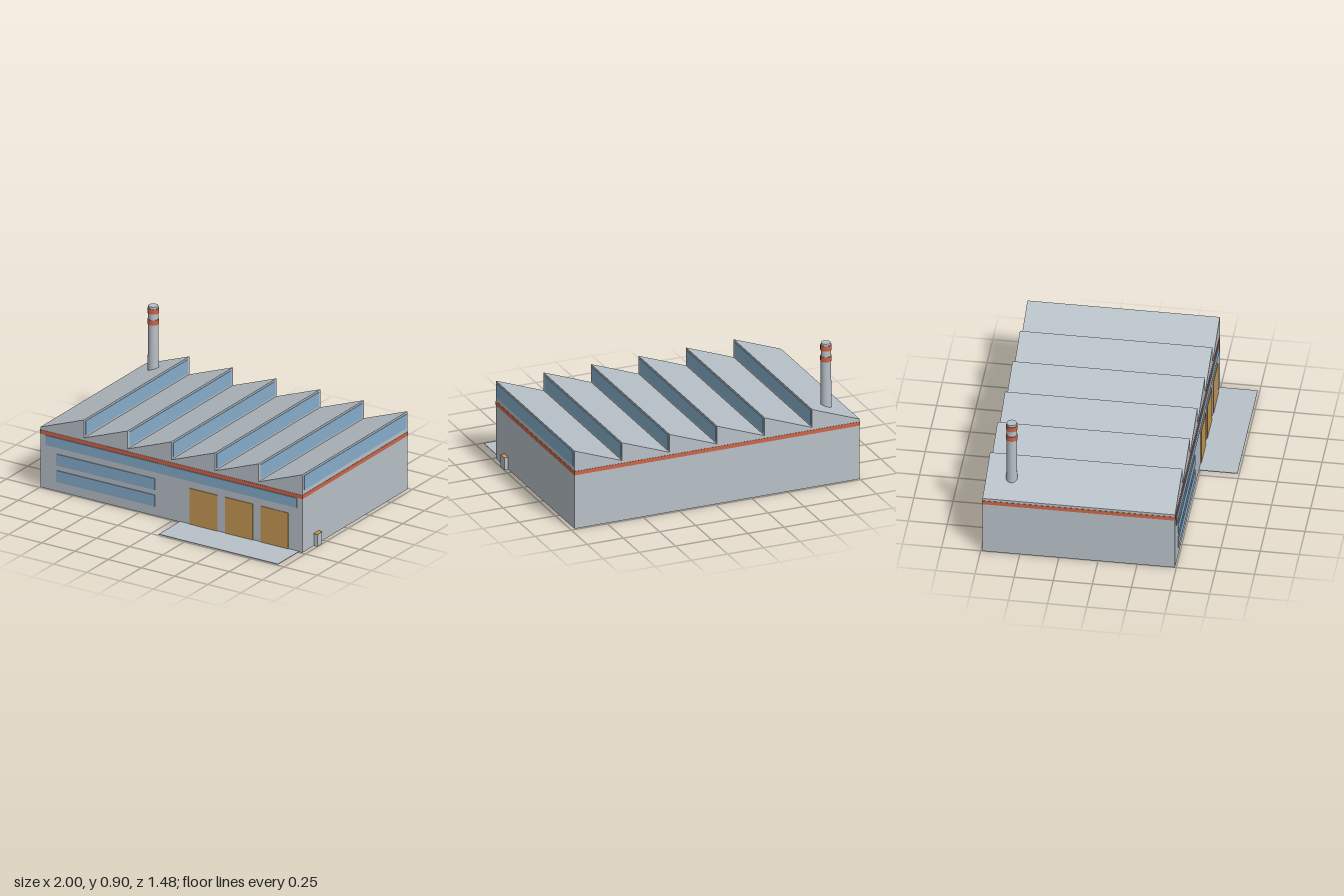
import * as THREE from 'three';

const mat = (name, color) => {
  const m = new THREE.MeshStandardMaterial({ color });
  m.name = name;
  return m;
};

export function createModel() {
  const wall = mat('pale grey', 0xb8c1c8);
  const glass = mat('blue glass', 0x86aecb);
  const red = mat('brick red', 0xcc6648);
  const amber = mat('amber', 0xc89a55);

  const model = new THREE.Group();
  model.name = 'factory';

  const add = (name, geometry, material) => {
    const mesh = new THREE.Mesh(geometry, material);
    mesh.name = name;
    model.add(mesh);
    return mesh;
  };
  // Box given by its min and max on each axis
  const box = (name, material, x0, x1, y0, y1, z0, z1) =>
    add(name, new THREE.BoxGeometry(x1 - x0, y1 - y0, z1 - z0), material)
      .position.set((x0 + x1) / 2, (y0 + y1) / 2, (z0 + z1) / 2);

  const left = -1, right = 0.972, back = -0.738, front = 0.492;
  const eave = 0.412, peak = 0.535, teeth = 6;
  const pitch = (right - left) / teeth;

  // Hall with sawtooth roof: one profile extruded front to back
  const profile = new THREE.Shape();
  profile.moveTo(left, 0);
  profile.lineTo(right, 0);
  for (let i = teeth; i > 0; i--) {
    profile.lineTo(left + i * pitch, peak);
    profile.lineTo(left + (i - 1) * pitch, eave);
  }
  const hall = new THREE.ExtrudeGeometry(profile, { depth: front - back, bevelEnabled: false });
  hall.translate(0, 0, back);
  add('hall', hall, wall);

  // Skylights on the upright face of each tooth
  for (let i = 1; i <= teeth; i++) {
    const x = left + i * pitch;
    box('skylight', glass, x - 0.001, x + 0.003, 0.425, 0.522, -0.718, 0.473);
  }

  // Painted band around the walls
  const b = 0.002;
  box('wallBand', red, left - b, right + b, 0.368, 0.395, back - b, front + b);

  // Front windows
  const face = front + 0.005;
  box('stripWindow', glass, -0.958, 0.932, 0.3, 0.366, front - 0.001, face);
  for (const y of [0.065, 0.178])
    box('window', glass, -0.878, -0.137, y, y + 0.078, front - 0.001, face);

  // Loading doors and apron
  for (const x of [0.126, 0.393, 0.66])
    box('loadingDoor', amber, x, x + 0.209, 0.004, 0.25, front - 0.001, face);
  box('apron', wall, 0.05, 0.947, 0, 0.004, front, 0.738);

  // Side cabinet with amber lid
  box('cabinet', wall, right, 0.998, 0, 0.08, 0.302, 0.358);
  box('cabinetLid', amber, right, 1, 0.08, 0.085, 0.3, 0.36);

  // Tapered chimney with two bands
  const tube = (name, material, rTop, rBottom, y0, y1) =>
    add(name, new THREE.CylinderGeometry(rTop, rBottom, y1 - y0, 24), material)
      .position.set(-0.838, (y0 + y1) / 2, -0.575);
  tube('chimney', wall, 0.032, 0.036, 0.4, 0.905);
  for (const y of [0.781, 0.856]) tube('chimneyBand', red, 0.036, 0.036, y, y + 0.034);

  return model;
}
